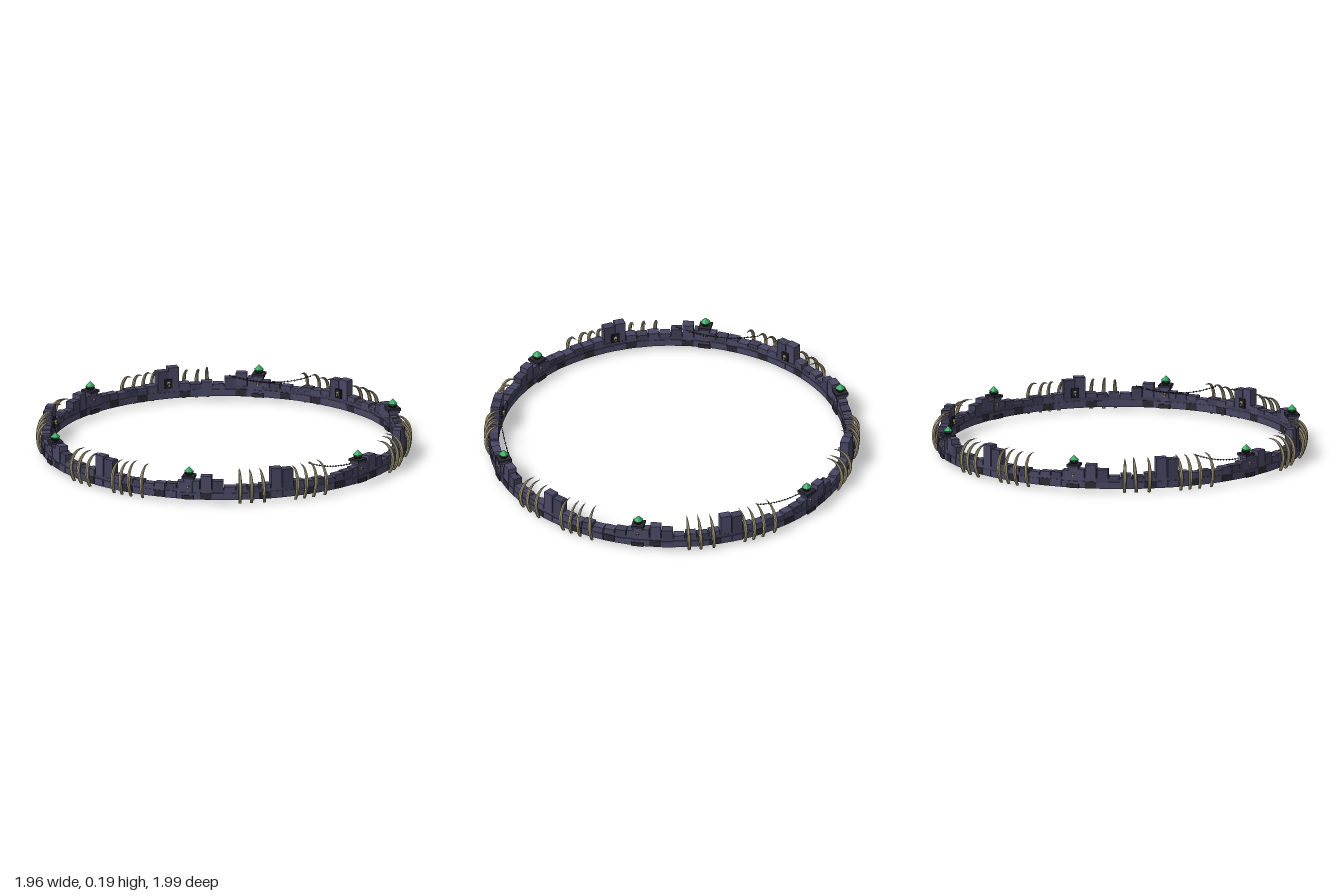
import * as THREE from 'three';

const mat = (name, color) => {
  const m = new THREE.MeshStandardMaterial({ color, flatShading: true });
  m.name = name;
  return m;
};
const DEG = Math.PI / 180;
const RING = 0.945; // centre radius of the wall

export function createModel() {
  const root = new THREE.Group();
  root.name = 'ruinedRingWall';

  const stone = mat('stone', 0x4a4763);
  const stoneShade = mat('shadedStone', 0x403e56);
  const darkStone = mat('darkStone', 0x2a2933);
  const iron = mat('iron', 0x1c1b22);
  const bone = mat('bone', 0xa89c7c);
  const gem = mat('greenGem', 0x2fa55c);

  // small seeded generator for uneven masonry
  let seed = 7;
  const rnd = (a, b) => {
    seed = (seed * 16807) % 2147483647;
    return a + (b - a) * (seed / 2147483647);
  };

  // local +x points outward, local +z along the wall
  const holder = (name, deg, parent = root) => {
    const g = new THREE.Group();
    g.name = name;
    g.rotation.y = -deg * DEG;
    parent.add(g);
    return g;
  };
  const add = (parent, name, geo, material, x = 0, y = 0, z = 0) => {
    const m = new THREE.Mesh(geo, material);
    m.name = name;
    m.position.set(x, y, z);
    parent.add(m);
    return m;
  };
  // box from bottom to top
  const block = (parent, name, material, x, y0, y1, z, depth, width) =>
    add(parent, name, new THREE.BoxGeometry(depth, y1 - y0, width), material, x, (y0 + y1) / 2, z);

  // continuous foundation
  const profile = [[0.922, 0.02], [0.968, 0.02], [0.968, 0.075], [0.922, 0.075], [0.922, 0.02]]
    .map(([r, y]) => new THREE.Vector2(r, y));
  add(root, 'foundation', new THREE.LatheGeometry(profile, 96), stoneShade);

  // curved rib, thick in the middle and pointed at the tip
  const ribGeometry = (lean, height) => {
    const pts = [[0.968, 0], [0.984, 0.04], [0.989, 0.085], [0.975, 0.135], [0.942, 0.168], [0.895, 0.176]];
    const path = new THREE.CatmullRomCurve3(
      pts.map(([r, y]) => new THREE.Vector3(r, y * height, lean * y)));
    const N = 14, S = 6;
    const geo = new THREE.TubeGeometry(path, N, 0.0105, S);
    const p = geo.attributes.position, v = new THREE.Vector3();
    for (let i = 0; i <= N; i++) {
      const t = i / N, c = path.getPointAt(t);
      const k = t < 0.4 ? 0.8 + 0.5 * t : Math.max(0.02, 1 - Math.pow((t - 0.4) / 0.6, 1.6));
      for (let j = 0; j <= S; j++) {
        const n = i * (S + 1) + j;
        v.fromBufferAttribute(p, n).sub(c).multiplyScalar(k).add(c);
        p.setXYZ(n, v.x, Math.max(0, v.y), v.z);
      }
    }
    geo.computeVertexNormals();
    return geo;
  };

  // little skull with dark eye sockets; side is the outward direction along x
  const skull = (parent, x, y, side, s) => {
    const g = new THREE.Group();
    g.name = 'skull';
    g.position.set(x, y, 0);
    parent.add(g);
    add(g, 'cranium', new THREE.IcosahedronGeometry(s, 1), bone);
    block(g, 'jaw', bone, side * s * 0.3, -s * 1.4, -s * 0.5, 0, s, s);
    for (const z of [-1, 1]) {
      block(g, 'eyeSocket', iron, side * s * 0.85, -s * 0.25, s * 0.25, z * s * 0.4, s * 0.35, s * 0.5);
    }
  };

  // block tops along one sixth of the ring, from one pillar to the next
  const tops = [0.11, 0.1, 0.095, 0.088, 0.098, 0.092, 0.1, 0.174,
    0.186, 0.1, 0.09, 0.097, 0.09, 0.12, 0.145, 0.122];
  const darkLower = [2, 5, 9, 14];
  const ribOffsets = [-14.9, -10.7, -7.4, -4.4, 5.9, 10, 13.7];
  const step = 60 / tops.length;
  const width = RING * step * DEG;

  for (let s = 0; s < 6; s++) {
    const a0 = s * 60;
    const section = new THREE.Group();
    section.name = 'wallSection';
    root.add(section);

    // two courses of masonry
    tops.forEach((top, k) => {
      const h = holder('masonry', a0 + (k + 0.5) * step, section);
      const dark = darkLower.includes(k);
      block(h, 'lowerBlock', dark ? darkStone : stone, RING, 0.02, 0.054 + rnd(0, 0.006), 0,
        0.052 + rnd(0, 0.004), width * 0.98);
      block(h, 'upperBlock', k % 3 === 1 ? stoneShade : stone, RING, 0.05, top + rnd(-0.003, 0.003), 0,
        0.044 + rnd(0, 0.005), width * rnd(0.9, 0.97));
    });

    // skull niche on the inner face of the tall centre blocks
    const niche = holder('skullNiche', a0 + 30, section);
    block(niche, 'nichePlate', iron, 0.92, 0.078, 0.128, 0, 0.012, 0.042);
    skull(niche, 0.911, 0.106, -1, 0.011);

    // ribs on both sides of the centre
    for (const o of ribOffsets) {
      const h = holder('ribHolder', a0 + 30 + o, section);
      add(h, 'rib', ribGeometry(rnd(-0.07, 0.07), rnd(0.95, 1.02)), bone);
    }

    // pillar with a gem on a dark cap
    const p = holder('pillar', a0, section);
    block(p, 'pillarBase', darkStone, RING, 0.02, 0.042, 0, 0.07, 0.066);
    block(p, 'pillarPlinth', stone, RING, 0.042, 0.056, 0, 0.06, 0.056);
    block(p, 'pillarShaft', stone, RING, 0.056, 0.122, 0, 0.05, 0.044);
    block(p, 'pillarCollar', stone, RING, 0.12, 0.132, 0, 0.06, 0.056);
    block(p, 'pillarCap', darkStone, RING, 0.132, 0.146, 0, 0.07, 0.066);
    add(p, 'gemBowl', new THREE.CylinderGeometry(0.025, 0.016, 0.014, 8), iron, RING, 0.152);
    add(p, 'gemLower', new THREE.CylinderGeometry(0.026, 0.018, 0.01, 8), gem, RING, 0.162);
    add(p, 'gemPoint', new THREE.ConeGeometry(0.026, 0.026, 8), gem, RING, 0.18);
    for (const side of [-1, 1]) skull(p, RING + side * 0.026, 0.094, side, 0.008);
  }

  // three sagging chains hung past every second pillar
  const polar = (deg, r, y) => new THREE.Vector3(r * Math.cos(deg * DEG), y, r * Math.sin(deg * DEG));
  for (const a of [0, 120, 240]) {
    const chain = new THREE.Group();
    chain.name = 'chain';
    root.add(chain);
    const path = new THREE.QuadraticBezierCurve3(
      polar(a - 9.5, 0.935, 0.13), polar(a + 5, 0.9, 0.075), polar(a + 19, 0.91, 0.17));
    add(chain, 'chainCore', new THREE.TubeGeometry(path, 30, 0.0018, 5), iron);
    for (let i = 0; i <= 24; i++) {
      const link = add(chain, 'chainLink', new THREE.TorusGeometry(0.004, 0.0015, 4, 6), iron);
      link.position.copy(path.getPointAt(i / 24));
      link.rotation.y = -a * DEG + (i % 2) * Math.PI / 2;
    }
  }

  return root;
}
